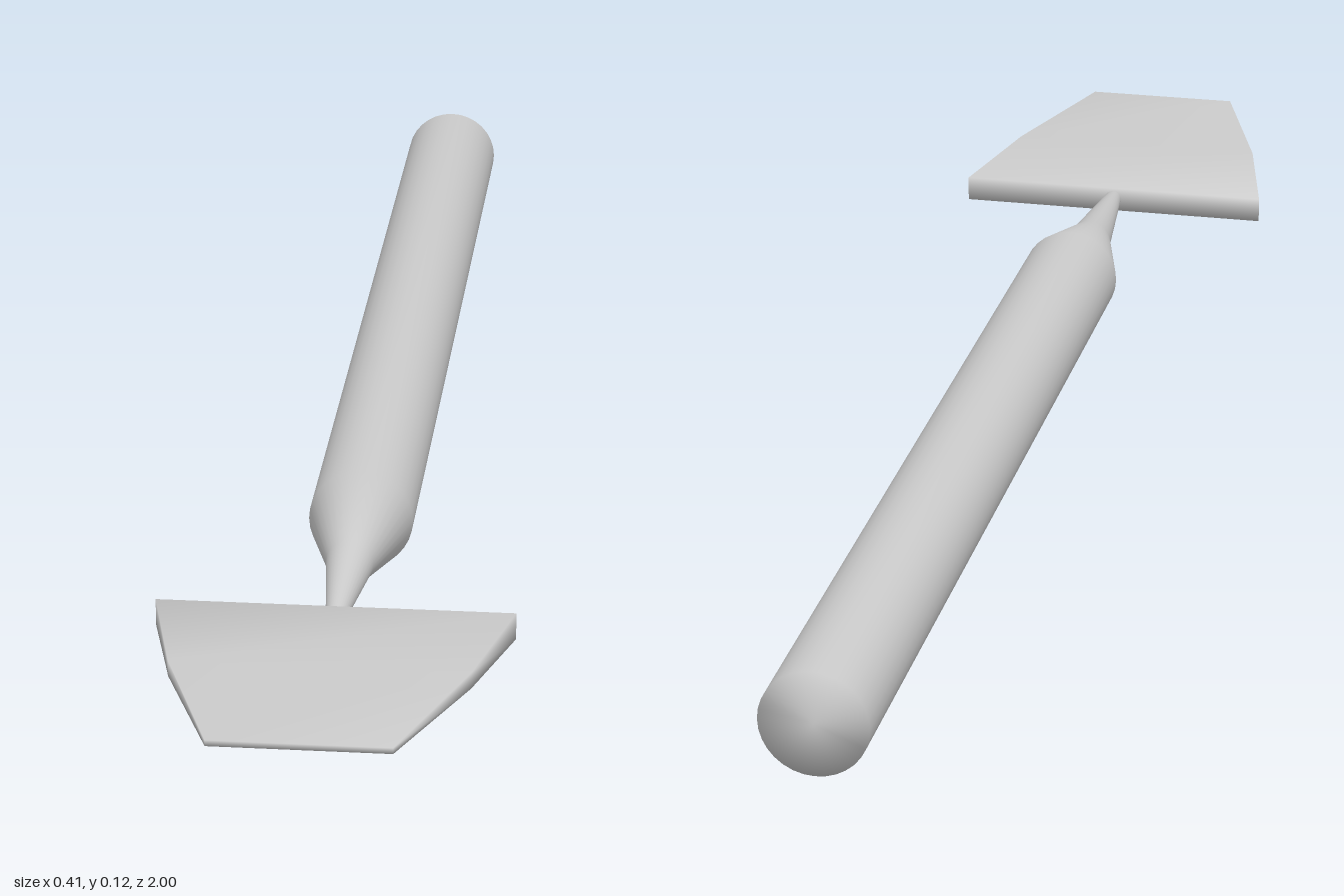
import * as THREE from 'three';

const material = new THREE.MeshStandardMaterial({ color: 0xcccccc });

// Closed solid lofted through rectangular sections: [z, half width, bottom, top]
function loft(sections) {
  const positions = [];
  const index = [];
  for (const [z, w, bottom, top] of sections) {
    positions.push(-w, bottom, z, w, bottom, z, w, top, z, -w, top, z);
  }
  const quad = (a, b, c, d) => index.push(a, b, c, a, c, d);
  for (let s = 0; s < sections.length - 1; s++) {
    for (let i = 0; i < 4; i++) {
      const a = s * 4 + i;
      const b = s * 4 + ((i + 1) % 4);
      quad(a, b, b + 4, a + 4);
    }
  }
  const e = (sections.length - 1) * 4;
  quad(3, 2, 1, 0);
  quad(e, e + 1, e + 2, e + 3);
  const geometry = new THREE.BufferGeometry();
  geometry.setAttribute('position', new THREE.Float32BufferAttribute(positions, 3));
  geometry.setIndex(index);
  geometry.computeVertexNormals();
  return geometry;
}

export function createModel() {
  const model = new THREE.Group();
  model.name = 'spatulaTool';

  // Round handle tapering into a thin neck, turned about the z axis
  const profile = [
    [0, -1], [0.062, -1], [0.062, 0.34], [0.028, 0.47], [0.01, 0.64], [0, 0.64],
  ].map(([r, z]) => new THREE.Vector2(r, z));
  const handleGeometry = new THREE.LatheGeometry(profile, 32).rotateX(Math.PI / 2);

  // The neck rises slightly towards the blade
  const p = handleGeometry.attributes.position;
  for (let i = 0; i < p.count; i++) {
    const t = Math.max(0, (p.getZ(i) - 0.34) / 0.3);
    p.setY(i, p.getY(i) + 0.062 + 0.005 * t);
  }
  const handle = new THREE.Mesh(handleGeometry, material);
  handle.name = 'handleAndNeck';
  model.add(handle);

  // Flat blade, wide and thick at the neck, narrow and thin at the tip
  const blade = new THREE.Mesh(loft([
    [0.63, 0.205, 0.05, 0.082],
    [0.8, 0.167, 0.068, 0.087],
    [1, 0.1, 0.085, 0.092],
  ]), material);
  blade.name = 'blade';
  model.add(blade);

  return model;
}
